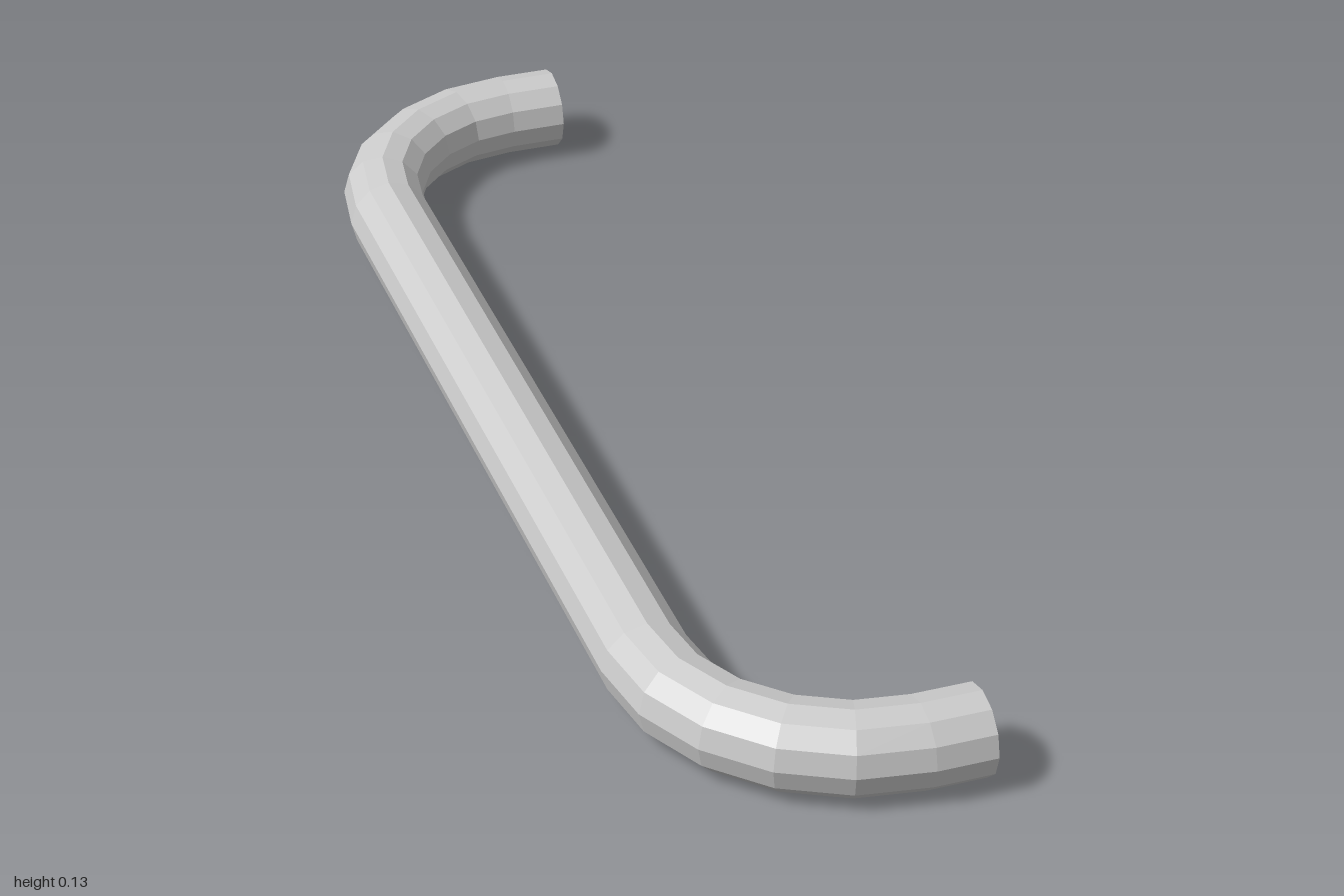
import * as THREE from 'three';

const RADIUS = 0.066;   // pipe radius
const SIDES = 12;
const BEND = 0.285;     // centre-line radius of each corner
const STEPS = 5;        // segments per corner
const BAR_X = -0.154, END_X = 0.22, STRAIGHT_Z = 0.649;

// Ring stations along the pipe: centre (x, z) and outward direction (nx, nz)
function stations() {
  const half = [{ x: END_X, z: STRAIGHT_Z + BEND, nx: 0, nz: 1 }];
  for (let i = STEPS; i >= 0; i--) {
    const a = (i / STEPS) * Math.PI / 2;
    const nx = -Math.cos(a), nz = Math.sin(a);
    half.push({ x: BAR_X + BEND + BEND * nx, z: STRAIGHT_Z + BEND * nz, nx, nz });
  }
  const mirrored = half.map(s => ({ ...s, z: -s.z, nz: -s.nz })).reverse();
  return [...half, ...mirrored];
}

// Open-ended pipe skinned over the rings
function pipeGeometry(rings) {
  const positions = [], index = [];
  rings.forEach((s, i) => {
    for (let j = 0; j < SIDES; j++) {
      const a = (j / SIDES) * Math.PI * 2;
      const out = RADIUS * Math.cos(a);
      positions.push(s.x + s.nx * out, RADIUS + RADIUS * Math.sin(a), s.z + s.nz * out);
      if (i === rings.length - 1) continue;
      const k = (j + 1) % SIDES;
      const p = i * SIDES + j, q = i * SIDES + k;
      index.push(p, q, p + SIDES, q, q + SIDES, p + SIDES);
    }
  });
  const geometry = new THREE.BufferGeometry();
  geometry.setAttribute('position', new THREE.Float32BufferAttribute(positions, 3));
  geometry.setIndex(index);
  geometry.computeVertexNormals();
  return geometry;
}

export function createModel() {
  const group = new THREE.Group();
  group.name = 'pullHandle';
  const material = new THREE.MeshStandardMaterial({
    color: 0xcccccc, flatShading: true, side: THREE.DoubleSide,
  });
  // Grip bar with a rounded corner and short open stub at each end
  const pipe = new THREE.Mesh(pipeGeometry(stations()), material);
  pipe.name = 'bentPipe';
  group.add(pipe);
  return group;
}
